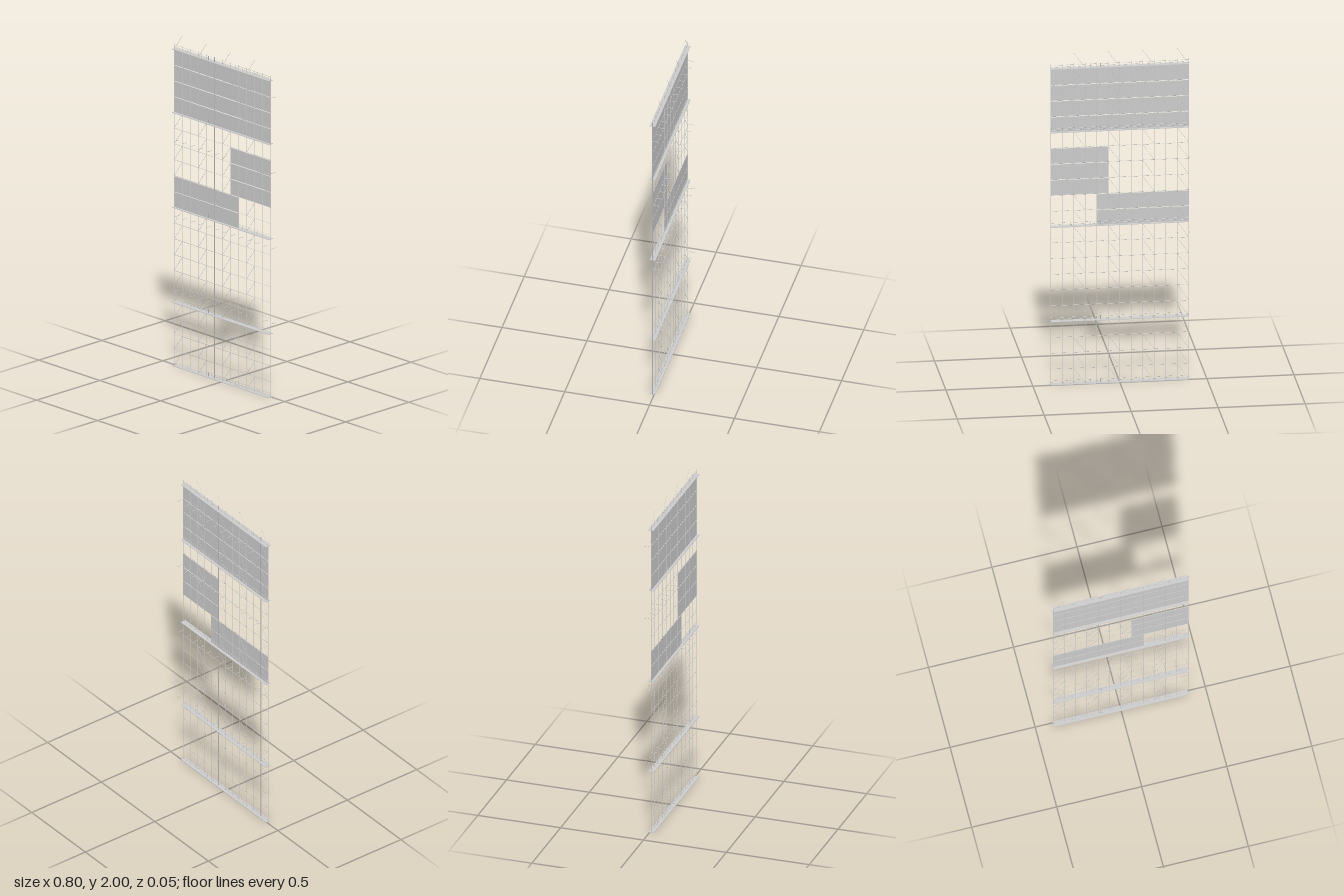
import * as THREE from 'three';

const ROW = 0.0953;   // height of one scaffold row
const BAY = 0.0661;   // distance between posts
const HALF = 6 * BAY; // half length
const MID = 0.0098;   // plane of the posts, rails and sheets
const TOP = 1.938;

export function createModel() {
  const model = new THREE.Group();
  const mat = new THREE.MeshStandardMaterial({ color: 0xcccccc });
  const up = new THREE.Vector3(0, 1, 0);

  const add = (geo, name, x, y, z) => {
    const mesh = new THREE.Mesh(geo, mat);
    mesh.name = name;
    mesh.position.set(x, y, z);
    model.add(mesh);
    return mesh;
  };
  const box = (name, w, h, d, x, y, z) => add(new THREE.BoxGeometry(w, h, d), name, x, y, z);
  // round bar between two points
  const bar = (name, a, b, r = 0.0008) => {
    const p = new THREE.Vector3(...a), q = new THREE.Vector3(...b);
    const dir = q.clone().sub(p);
    const mesh = add(new THREE.CylinderGeometry(r, r, dir.length(), 10), name, 0, 0, 0);
    mesh.position.copy(p).add(q).multiplyScalar(0.5);
    mesh.quaternion.setFromUnitVectors(up, dir.normalize());
  };

  // upright posts, and ties running back to the wall
  for (let i = -6; i <= 6; i++) {
    const x = i * BAY;
    bar('post', [x, 0, MID], [x, TOP, MID], 0.0016);
    for (const y of [0.443, 0.894, 1.349, 1.803]) bar('wallTie', [x, y, MID], [x, y, -0.0285], 0.0014);
  }

  // ledgers on every row
  for (let r = 1; r <= 20; r++) {
    bar('ledger', [-HALF, r * ROW, MID], [HALF, r * ROW, MID], 0.0012);
  }

  // diagonal braces in every third bay
  for (const i of [-6, -3, 0, 3]) {
    for (let r = 0; r <= 20; r++) {
      bar('diagonalBrace', [i * BAY, r * ROW, MID - 0.0004], [(i + 1) * BAY, (r + 1) * ROW - 0.001, MID - 0.0004]);
    }
  }

  // decks of two planks each, with low rails and stubs
  for (const level of [0, 4, 10, 16, 20]) {
    const y = level * ROW;
    for (const z of [0.0015, 0.018]) box('deckPlank', 2 * HALF, 0.003, 0.0163, 0, y + 0.0015, z);
    for (const h of [0.013, 0.024]) bar('deckRail', [-HALF, y + h, MID - 0.0015], [HALF, y + h, MID - 0.0015]);
    for (const x of [-0.285, -0.17, -0.115, 0.11, 0.165, 0.285]) {
      bar('railStub', [x, y, MID], [x, y + 0.026, MID], 0.0016);
    }
  }

  // cladding sheets: first row, end row, left edge, right edge
  const sheets = [
    [16, 20, -HALF, HALF],
    [12, 15, BAY, HALF],
    [10, 12, -HALF, 2 * BAY],
  ];
  for (const [r0, r1, x0, x1] of sheets) {
    for (let r = r0; r < r1; r++) {
      box('claddingSheet', x1 - x0, ROW - 0.005, 0.0008, (x0 + x1) / 2, (r + 0.5) * ROW - 0.002, MID);
    }
  }
  return model;
}
